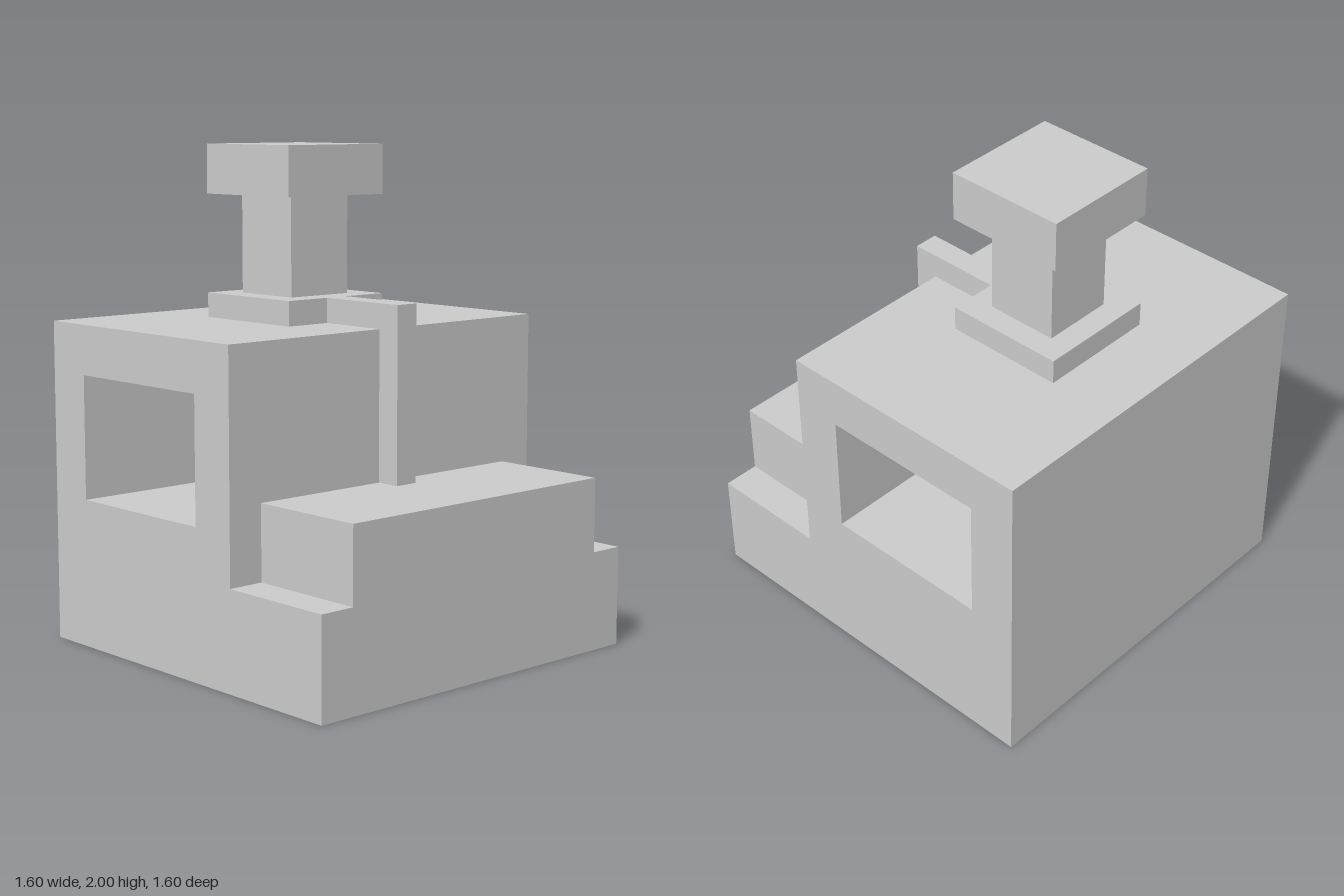
import * as THREE from 'three';

const material = new THREE.MeshStandardMaterial({ color: 0xcccccc, flatShading: true });

// Adds a box given by its [min, max] extents on each axis
function addBox(group, name, [x0, x1], [y0, y1], [z0, z1]) {
  const mesh = new THREE.Mesh(new THREE.BoxGeometry(x1 - x0, y1 - y0, z1 - z0), material);
  mesh.position.set((x0 + x1) / 2, (y0 + y1) / 2, (z0 + z1) / 2);
  mesh.name = name;
  group.add(mesh);
}

const points = (list) => list.map(([z, y]) => new THREE.Vector2(z, y));

export function createModel() {
  const model = new THREE.Group();
  model.name = 'steppedBlock';

  // Body: side profile (z, y) with a through window, extruded across x
  const profile = new THREE.Shape(points([
    [-0.8, 0], [0.8, 0], [0.8, 0.4], [0.3, 0.4], [0.3, 1.3], [-0.8, 1.3],
  ]));
  profile.holes.push(new THREE.Path(points([
    [-0.6, 0.6], [-0.6, 1.1], [0.1, 1.1], [0.1, 0.6],
  ])));
  const bodyGeometry = new THREE.ExtrudeGeometry(profile, { depth: 1.6, bevelEnabled: false });
  bodyGeometry.rotateY(-Math.PI / 2).translate(0.8, 0, 0);
  const body = new THREE.Mesh(bodyGeometry, material);
  body.name = 'body';
  model.add(body);

  // Lowered ceiling block in the middle of the tunnel
  addBox(model, 'ceilingBlock', [-0.35, 0.35], [1.0, 1.1], [-0.6, 0.1]);

  // Raised front step between the two side ledges
  addBox(model, 'frontStep', [-0.65, 0.65], [0.4, 0.7], [0.3, 0.8]);

  // Square stack on the roof
  addBox(model, 'stackBase', [-0.25, 0.25], [1.3, 1.4], [-0.5, 0]);
  addBox(model, 'stackNeck', [-0.15, 0.15], [1.4, 1.8], [-0.4, -0.1]);
  addBox(model, 'stackCap', [-0.25, 0.25], [1.8, 2.0], [-0.5, 0]);

  // Pipe from the stack base over the roof edge down to the step
  addBox(model, 'pipeTop', [-0.05, 0.05], [1.3, 1.4], [0, 0.3]);
  addBox(model, 'pipeDrop', [-0.05, 0.05], [0.7, 1.4], [0.3, 0.4]);

  return model;
}
